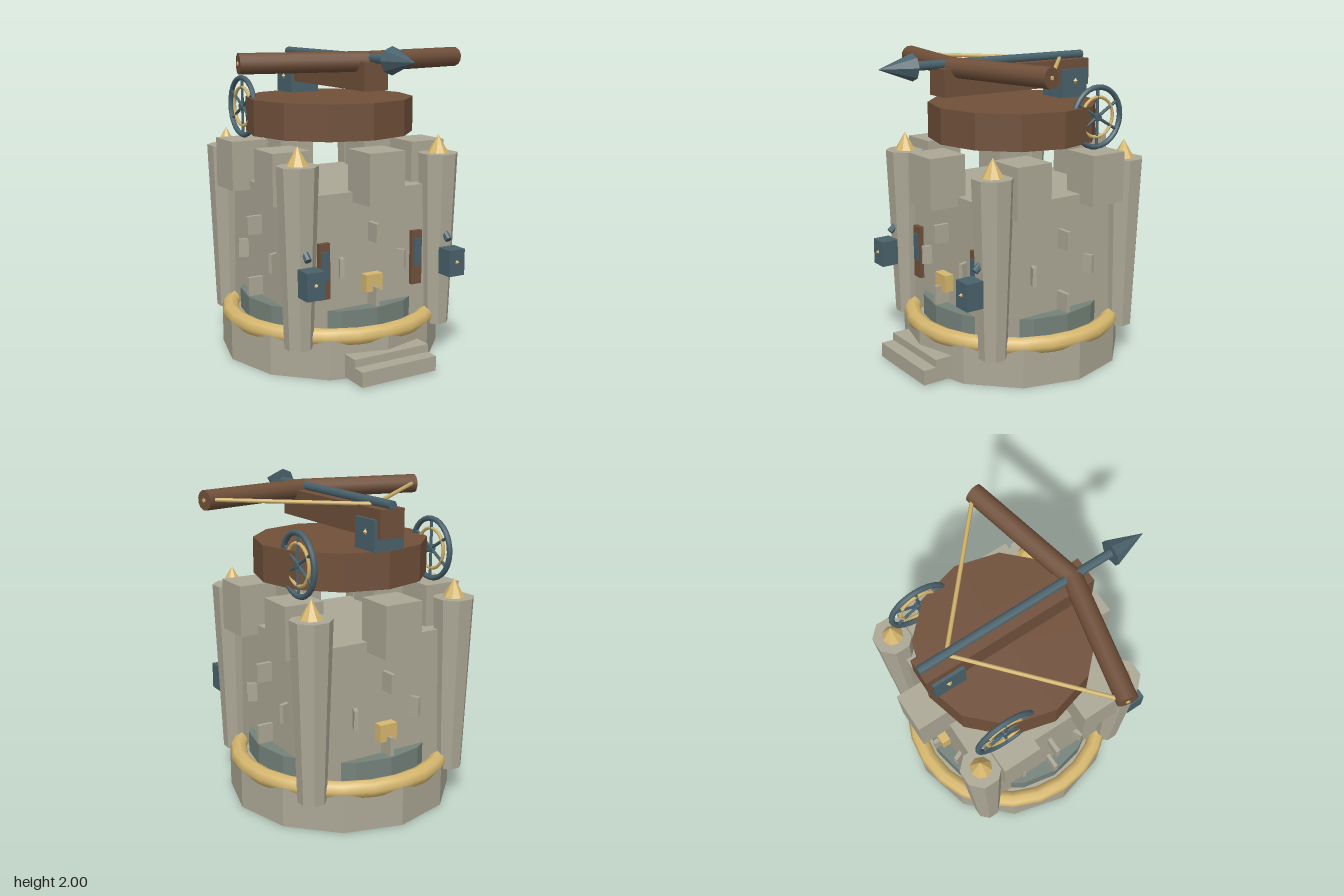
import * as THREE from 'three';

const mat = (color, flatShading = true) => new THREE.MeshStandardMaterial({ color, flatShading });
const STONE = mat(0xaca896), GOLD = mat(0xd6b76e), WOOD = mat(0x70503a), METAL = mat(0x4a626c), SLATE = mat(0x74827a);
const ROUND_WOOD = mat(0x70503a, false), ROUND_METAL = mat(0x4a626c, false), ROUND_GOLD = mat(0xd6b76e, false);

export function createModel() {
  const model = new THREE.Group();
  // Everything up to the turntable is built around the tower axis
  const tower = new THREE.Group();
  tower.name = 'tower';
  tower.position.z = -0.12;
  model.add(tower);

  const add = (parent, name, geometry, material, x = 0, y = 0, z = 0) => {
    const mesh = new THREE.Mesh(geometry, material);
    mesh.name = name;
    mesh.position.set(x, y, z);
    parent.add(mesh);
    return mesh;
  };
  const box = (parent, name, material, w, h, d, x, y, z) =>
    add(parent, name, new THREE.BoxGeometry(w, h, d), material, x, y, z);
  const drum = (parent, name, material, rTop, rBottom, y0, y1, sides, x = 0, z = 0) =>
    add(parent, name, new THREE.CylinderGeometry(rTop, rBottom, y1 - y0, sides), material, x, (y0 + y1) / 2, z);
  // Straight rod between two points
  const rod = (parent, name, material, a, b, r, sides = 8) => {
    const from = new THREE.Vector3(...a), to = new THREE.Vector3(...b);
    const dir = to.clone().sub(from);
    const mesh = add(parent, name, new THREE.CylinderGeometry(r, r, dir.length(), sides), material);
    mesh.position.copy(from).add(to).multiplyScalar(0.5);
    mesh.quaternion.setFromUnitVectors(new THREE.Vector3(0, 1, 0), dir.normalize());
    return mesh;
  };

  // Foundation, rope ring, plinth and keep
  drum(tower, 'foundation', STONE, 0.72, 0.72, 0, 0.26, 12);
  const ring = add(tower, 'goldRing', new THREE.TorusGeometry(0.665, 0.056, 8, 24), ROUND_GOLD, 0, 0.255, 0);
  ring.rotation.x = Math.PI / 2;
  drum(tower, 'plinth', SLATE, 0.595, 0.595, 0.2, 0.395, 16);
  box(tower, 'keep', STONE, 1, 0.94, 1, 0, 0.65, 0);

  // Six battlement blocks
  for (let i = 0; i < 6; i++) {
    const a = i * Math.PI / 3;
    box(tower, 'battlement', STONE, 0.25, 0.32, 0.25, 0.57 * Math.sin(a), 1.22, 0.57 * Math.cos(a));
  }

  // Corner turrets with pointed caps
  for (const x of [-0.505, 0.505]) for (const z of [-0.505, 0.505]) {
    const turret = drum(tower, 'turret', STONE, 0.128, 0.088, 0.2, 1.315, 8, x, z);
    turret.rotation.y = Math.PI / 8;
    add(tower, 'turretCap', new THREE.ConeGeometry(0.07, 0.12, 8), GOLD, x, 1.372, z);
  }

  // Protruding stones set edge-on around the walls
  const stone = (angle, y) => {
    const s = box(tower, 'wallStone', STONE, 0.026, 0.12, 0.1, 0.55 * Math.sin(angle), y, 0.55 * Math.cos(angle));
    s.rotation.y = angle;
  };
  for (let i = 0; i < 4; i++) {
    const a = i * Math.PI / 2;
    stone(a, 0.865);
    stone(a, 0.465);
    stone(a - Math.PI / 8, 0.665);
    stone(a + Math.PI / 8, 0.665);
  }

  // Gold plaques on front and back
  for (const s of [-1, 1]) box(tower, 'plaque', GOLD, 0.12, 0.11, 0.08, 0, 0.545, s * 0.52);

  // Entrance steps
  box(model, 'lowerStep', STONE, 0.535, 0.095, 0.2, 0, 0.062, 0.63);
  box(model, 'upperStep', STONE, 0.535, 0.05, 0.12, 0, 0.135, 0.585);

  for (const s of [-1, 1]) {
    // Shuttered windows
    box(model, 'windowFrame', WOOD, 0.075, 0.35, 0.05, s * 0.337, 0.655, 0.385);
    box(model, 'windowPane', METAL, 0.048, 0.18, 0.03, s * 0.337, 0.69, 0.405);

    // Lanterns on the front turrets
    const lantern = new THREE.Group();
    lantern.name = 'lantern';
    lantern.position.set(s * 0.507, 0.64, 0.55);
    model.add(lantern);
    box(lantern, 'lanternBox', METAL, 0.118, 0.17, 0.115, 0, 0, 0);
    const stud = add(lantern, 'lanternStud', new THREE.ConeGeometry(0.015, 0.025, 6), GOLD, 0, 0.005, 0.066);
    stud.rotation.x = Math.PI / 2;
    rod(lantern, 'lanternHook', METAL, [0, 0.17, -0.08], [0, 0.13, -0.035], 0.022, 8);
  }

  // Turntable
  drum(tower, 'turntable', WOOD, 0.54, 0.54, 1.43, 1.655, 12);

  // Ballista stock, mount and bolt
  const ballista = new THREE.Group();
  ballista.name = 'ballista';
  model.add(ballista);
  box(ballista, 'stock', WOOD, 0.165, 0.17, 1.12, 0, 1.815, -0.12);
  box(ballista, 'mount', METAL, 0.205, 0.185, 0.205, 0, 1.747, -0.548);
  rod(ballista, 'boltShaft', ROUND_METAL, [0, 1.92, -0.68], [0, 1.92, 0.62], 0.028, 8);
  const tip = add(ballista, 'boltHead', new THREE.ConeGeometry(0.084, 0.23, 8), METAL, 0, 1.916, 0.723);
  tip.rotation.x = Math.PI / 2;

  for (const s of [-1, 1]) {
    // Bow arm, end stud, string and mount stud
    rod(ballista, 'bowArm', ROUND_WOOD, [0, 1.9, 0.345], [s * 0.772, 1.9, 0.175], 0.062, 12);
    rod(ballista, 'armStud', GOLD, [s * 0.765, 1.9, 0.176], [s * 0.779, 1.9, 0.173], 0.013, 6);
    rod(ballista, 'bowString', ROUND_GOLD, [s * 0.72, 1.905, 0.13], [0, 1.905, -0.5], 0.013, 6);
    const stud = add(ballista, 'mountStud', new THREE.ConeGeometry(0.025, 0.02, 4), GOLD, s * 0.108, 1.76, -0.555);
    stud.rotation.z = -s * Math.PI / 2;

    // Spoked winding wheel on each side
    const wheel = new THREE.Group();
    wheel.name = 'windingWheel';
    wheel.position.set(s * 0.473, 1.585, -0.425);
    wheel.rotation.y = Math.PI / 2;
    model.add(wheel);
    add(wheel, 'wheelRim', new THREE.TorusGeometry(0.186, 0.017, 8, 28), ROUND_METAL);
    add(wheel, 'innerRing', new THREE.TorusGeometry(0.125, 0.011, 6, 24), ROUND_GOLD);
    for (let i = 0; i < 3; i++) {
      const a = Math.PI / 2 + i * Math.PI / 3, c = 0.186 * Math.cos(a), h = 0.186 * Math.sin(a);
      rod(wheel, 'spoke', METAL, [-c, -h, 0], [c, h, 0], 0.01, 6);
    }
    rod(wheel, 'hub', METAL, [0, 0, -0.018], [0, 0, 0.018], 0.024, 8);
  }
  return model;
}
